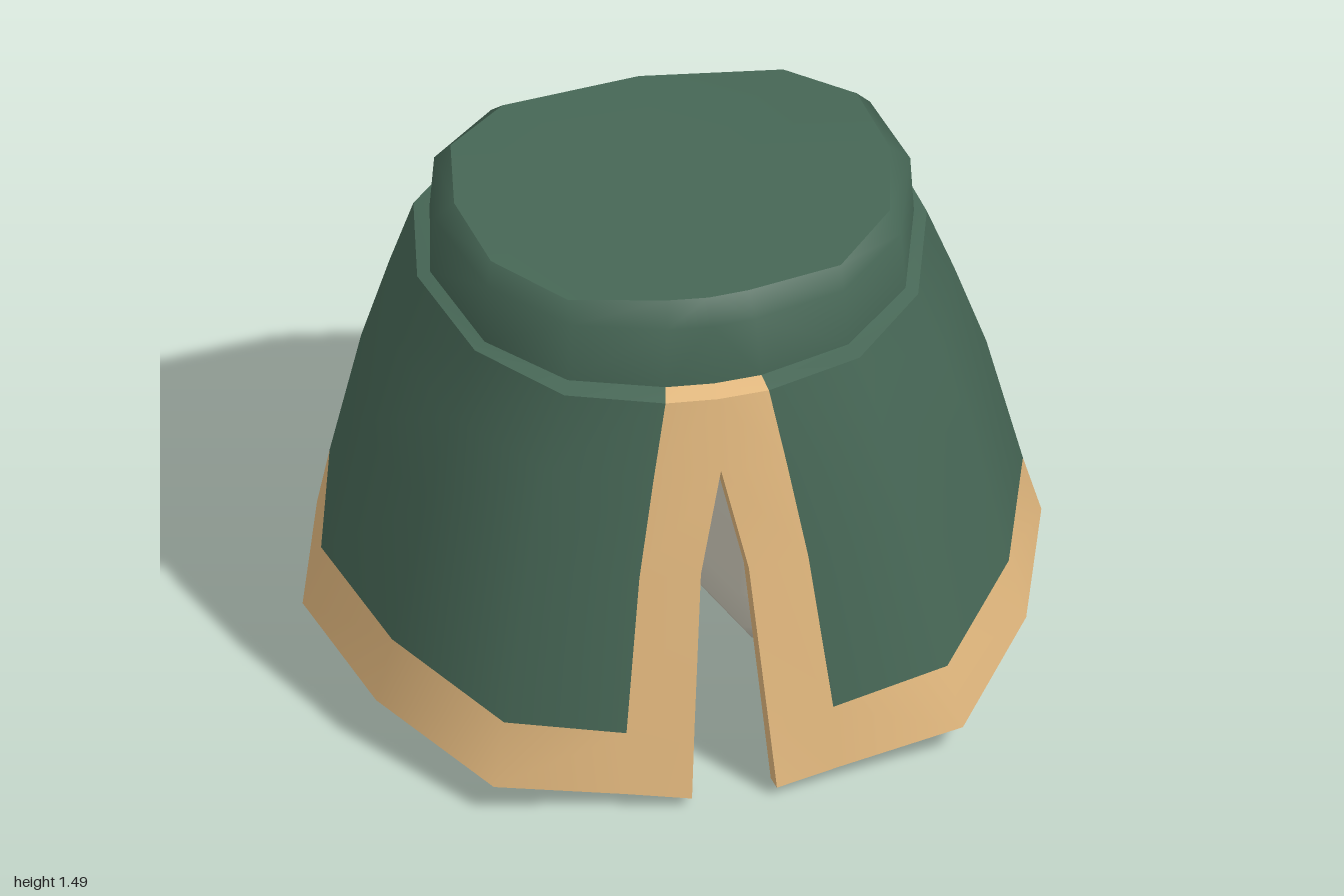
import * as THREE from 'three';
import { toCreasedNormals } from 'three/addons/utils/BufferGeometryUtils.js';

const flat = (name, color) => {
  const m = new THREE.MeshStandardMaterial({ color });
  m.name = name;
  return m;
};

// Rings of the left half, each running front centre -> left side -> back centre
const CAP = [[0, 1.43, 0.44], [0.11, 1.43, 0.43], [0.37, 1.435, 0.38], [0.54, 1.455, 0.2],
  [0.59, 1.475, -0.04], [0.55, 1.48, -0.28], [0.38, 1.48, -0.42], [0, 1.48, -0.47]];
const BAND_TOP = [[0, 1.37, 0.49], [0.12, 1.37, 0.48], [0.37, 1.38, 0.42], [0.56, 1.41, 0.25],
  [0.645, 1.43, -0.04], [0.59, 1.43, -0.3], [0.4, 1.43, -0.47], [0, 1.43, -0.52]];
const BAND_BASE = [[0, 1.195, 0.51], [0.13, 1.195, 0.5], [0.38, 1.205, 0.43], [0.57, 1.235, 0.26],
  [0.655, 1.255, -0.04], [0.6, 1.267, -0.31], [0.41, 1.275, -0.48], [0, 1.275, -0.54]];
const TOP = [[0, 1.18, 0.56], [0.14, 1.18, 0.55], [0.4, 1.195, 0.48], [0.6, 1.225, 0.28],
  [0.69, 1.245, -0.04], [0.64, 1.262, -0.33], [0.44, 1.27, -0.54], [0, 1.27, -0.605]];
const TRIM = [[0.1, 0.22, 0.735], [0.28, 0.22, 0.715], [0.6, 0.265, 0.66], [0.835, 0.33, 0.33],
  [0.95, 0.375, -0.04], [0.85, 0.405, -0.41], [0.57, 0.41, -0.67], [0, 0.41, -0.75]];
const HEM = [[0.115, 0.02, 0.775], [0.29, 0.04, 0.745], [0.635, 0.08, 0.695], [0.88, 0.14, 0.34],
  [1, 0.195, -0.04], [0.88, 0.22, -0.43], [0.59, 0.23, -0.69], [0, 0.235, -0.775]];

// Ring between TOP and TRIM with a slight sideways bulge; its first point lies on the slit
function between(t, slitPoint) {
  const ring = TOP.map((p, j) => {
    const q = p.map((v, k) => v + (TRIM[j][k] - v) * t);
    q[0] *= 1 + (j === 1 ? 0.07 : 0.028) * Math.sin(Math.PI * t);
    return q;
  });
  ring[0] = slitPoint;
  return ring;
}

// Skins rows of points from top to bottom, mirrored to both sides, in one or more materials
function skin(name, rows, materials, pick = () => 0, crease = 0.87) {
  const bins = materials.map(() => []);
  const [a, b, c] = [0, 1, 2].map(() => new THREE.Vector3());
  const triangle = (bin, p, q, r) => {
    a.fromArray(p); b.fromArray(q); c.fromArray(r);
    if (b.sub(a).cross(c.sub(a)).length() < 1e-7) return;
    bin.push(...p, ...q, ...r);
    for (const [x, y, z] of [p, r, q]) bin.push(-x, y, z);
  };
  for (let i = 0; i < rows.length - 1; i++) {
    for (let j = 0; j < rows[i].length - 1; j++) {
      const bin = bins[pick(i, j)];
      triangle(bin, rows[i][j], rows[i + 1][j], rows[i + 1][j + 1]);
      triangle(bin, rows[i][j], rows[i + 1][j + 1], rows[i][j + 1]);
    }
  }
  let geometry = new THREE.BufferGeometry();
  geometry.setAttribute('position', new THREE.Float32BufferAttribute(bins.flat(), 3));
  geometry = toCreasedNormals(geometry, crease);
  geometry.clearGroups();
  let start = 0;
  bins.forEach((bin, k) => {
    geometry.addGroup(start, bin.length / 3, k);
    start += bin.length / 3;
  });
  const mesh = new THREE.Mesh(geometry, materials);
  mesh.name = name;
  return mesh;
}

export function createModel() {
  const green = flat('green cloth', 0x466655);
  const gold = flat('gold trim', 0xe2b87e);
  const grey = flat('pale grey', 0xd2cebe);
  const model = new THREE.Group();
  model.name = 'splitSkirt';

  // Waistband with a bevelled rim and a closed, crisp-edged top
  const centre = CAP.map(() => [0, 1.467, -0.02]);
  model.add(skin('waistTop', [centre, CAP], [green]));
  model.add(skin('waistband', [CAP, BAND_TOP, BAND_BASE], [green], () => 0, 1.4));

  // Skirt: ledge, green cloth, gold front panel and gold hem
  const upper = between(0.23, [0, 0.97, 0.6]);
  const middle = between(0.53, [0.065, 0.67, 0.65]);
  model.add(skin('ledge', [BAND_BASE, TOP], [green, gold], (i, j) => (j === 0 ? 1 : 0)));
  model.add(skin('skirt', [TOP, upper, middle, TRIM, HEM], [green, gold],
    (i, j) => (j === 0 || i === 3 ? 1 : 0)));

  // Hem edge, lining and closed ceiling
  const inset = (ring) => ring.map(([x, y, z], j) => [j ? x * 0.915 : x, y - 0.03, z * 0.895]);
  const ceiling = HEM.map(() => [0, 0.95, -0.04]);
  const inner = [upper, middle, TRIM, HEM].map(inset);
  model.add(skin('lining', [HEM, ...inner.slice().reverse(), ceiling], [gold]));

  // Side walls of the front slit
  const slit = [upper, middle, TRIM, HEM].map((ring, i) => [inner[i][0], ring[0]]);
  model.add(skin('slitEdges', slit, [gold]));

  // Hips joining the legs inside the skirt
  const hips = new THREE.Mesh(new THREE.CylinderGeometry(0.58, 0.61, 0.05, 12).scale(1, 1, 0.7), grey);
  hips.name = 'hips';
  hips.position.set(0, 0.85, -0.05);
  model.add(hips);

  // Legs with rounded lower ends and flat soles
  const profile = [[0.18, 0.02], [0.275, 0.06], [0.32, 0.13], [0.335, 0.25], [0.335, 0.5], [0.34, 0.86]];
  const legGeometry = new THREE.LatheGeometry(profile.map(([r, y]) => new THREE.Vector2(r, y)), 8);
  const soleGeometry = new THREE.CircleGeometry(0.18, 8).rotateX(Math.PI / 2);
  for (const side of [1, -1]) {
    const leg = new THREE.Group();
    leg.name = side > 0 ? 'leftLeg' : 'rightLeg';
    const shaft = new THREE.Mesh(legGeometry, grey);
    shaft.name = 'shaft';
    const sole = new THREE.Mesh(soleGeometry, grey);
    sole.name = 'sole';
    sole.position.y = 0.02;
    leg.add(shaft, sole);
    leg.scale.z = 1.19;
    leg.position.set(side * 0.365, 0, -0.055);
    model.add(leg);
  }
  return model;
}
